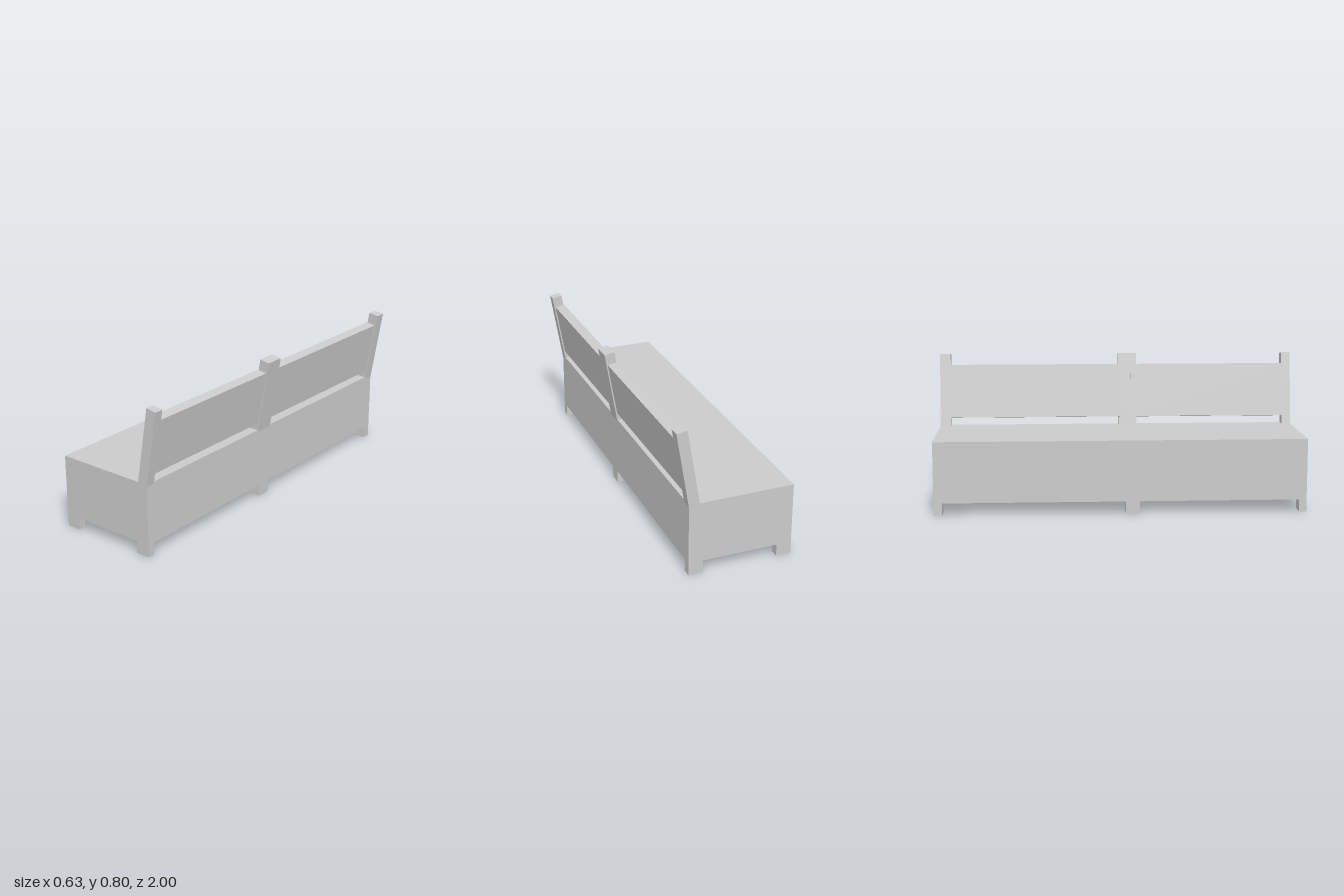
import * as THREE from 'three';

const material = new THREE.MeshStandardMaterial({ color: 0xcccccc, flatShading: true });

// Box given by its limits on each axis
function box(name, [x0, x1], [y0, y1], [z0, z1]) {
  const mesh = new THREE.Mesh(new THREE.BoxGeometry(x1 - x0, y1 - y0, z1 - z0), material);
  mesh.position.set((x0 + x1) / 2, (y0 + y1) / 2, (z0 + z1) / 2);
  mesh.name = name;
  return mesh;
}

// Side outline in x and y, extruded between two z limits
function slab(name, outline, [z0, z1]) {
  const shape = new THREE.Shape(outline.map(([x, y]) => new THREE.Vector2(x, y)));
  const geometry = new THREE.ExtrudeGeometry(shape, { depth: z1 - z0, bevelEnabled: false });
  const mesh = new THREE.Mesh(geometry, material);
  mesh.position.z = z0;
  mesh.name = name;
  return mesh;
}

export function createModel() {
  const bench = new THREE.Group();
  bench.name = 'bench';

  // Solid seat block
  bench.add(box('seat', [-0.318, 0.247], [0.066, 0.397], [-1, 1]));

  // Three pairs of short feet
  for (const z of [[-1, -0.955], [0.025, 0.1], [0.96, 1]]) {
    bench.add(box('frontFoot', [-0.318, -0.237], [0, 0.066], z));
    bench.add(box('rearFoot', [0.168, 0.247], [0, 0.066], z));
  }

  // Leaning backrest posts
  const post = [[0.19, 0.397], [0.248, 0.387], [0.315, 0.792], [0.259, 0.802]];
  for (const z of [[-1, -0.94], [0.01, 0.115], [0.95, 1]]) {
    bench.add(slab('backPost', post, z));
  }

  // Backrest panels, standing slightly proud of the posts
  const panel = [[0.194, 0.447], [0.248, 0.437], [0.298, 0.733], [0.244, 0.742]];
  for (const z of [[-0.975, 0.02], [0.08, 0.957]]) {
    bench.add(slab('backPanel', panel, z));
  }

  return bench;
}
